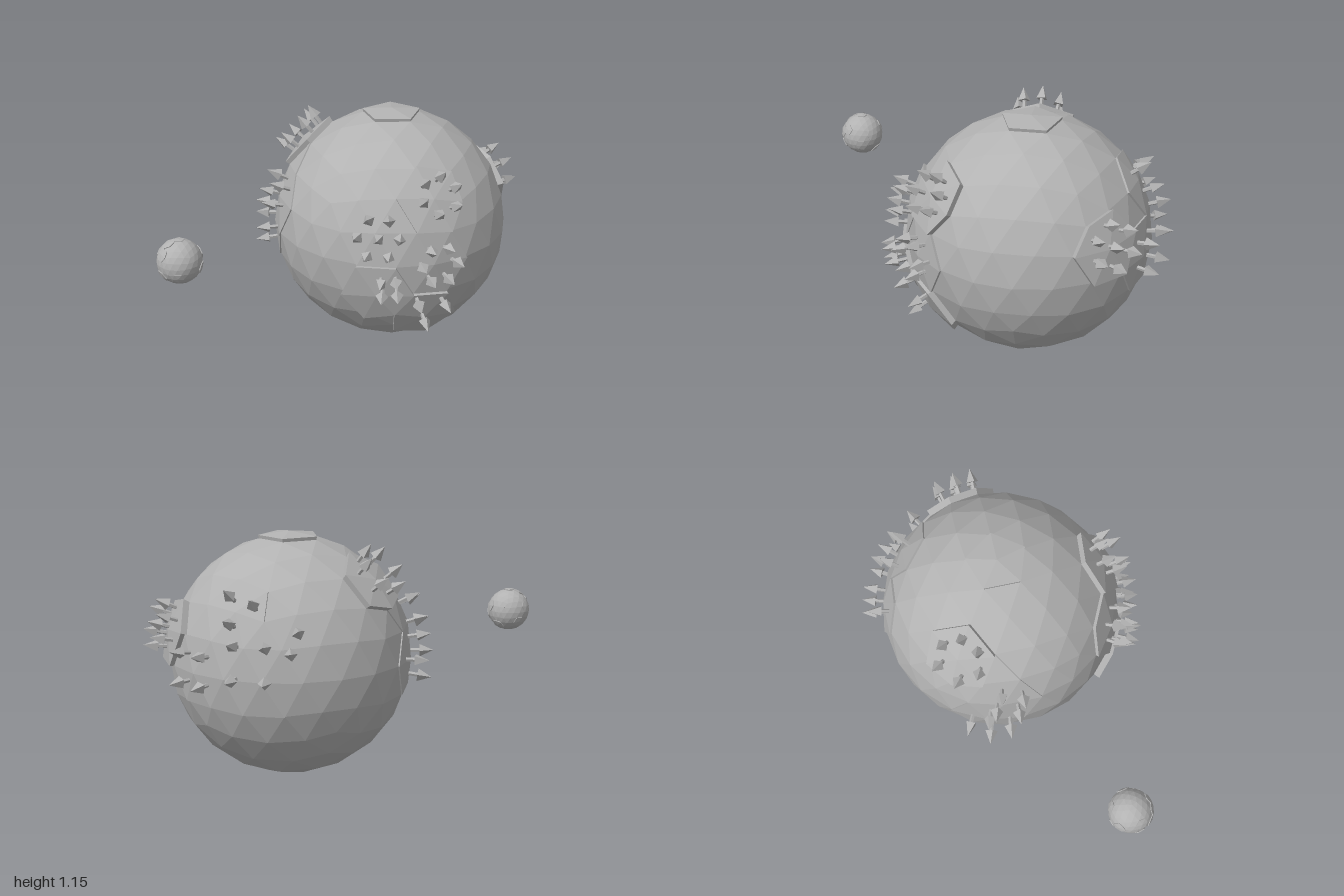
import * as THREE from 'three';
import { mergeGeometries } from 'three/addons/utils/BufferGeometryUtils.js';

const grey = new THREE.MeshStandardMaterial({ color: 0xb2b2b2, flatShading: true });
grey.name = 'grey';

// Unit direction from azimuth (0 = +x, 90 = +z) and latitude in degrees
function dir(az, lat) {
  const a = az * Math.PI / 180, b = lat * Math.PI / 180;
  return new THREE.Vector3(Math.cos(a) * Math.cos(b), Math.sin(b), Math.sin(a) * Math.cos(b));
}

// Triangles of a unit geodesic sphere with a five-sided corner at each pole
function geodesicTriangles() {
  const lat = Math.atan(0.5) * 180 / Math.PI;
  const pts = [dir(0, 90), dir(0, -90)], faces = [];
  for (let k = 0; k < 5; k++) pts.push(dir(72 * k, lat), dir(72 * k + 36, -lat));
  for (let k = 0; k < 5; k++) {
    const u = 2 + 2 * k, l = u + 1, u2 = 2 + 2 * ((k + 1) % 5), l2 = u2 + 1;
    faces.push(0, u2, u, u, u2, l, l, u2, l2, 1, l, l2);
  }
  const flat = pts.flatMap(p => p.toArray());
  const pos = new THREE.PolyhedronGeometry(flat, faces, 1, 3).attributes.position;
  const tris = [];
  for (let i = 0; i < pos.count; i += 3) {
    const t = [0, 1, 2].map(j => new THREE.Vector3().fromBufferAttribute(pos, i + j).normalize());
    if (t[1].clone().cross(t[2]).dot(t[0]) < 0) t.reverse();
    tris.push(t);
  }
  return tris;
}

const key = v => v.toArray().map(c => Math.round(c * 1000 + 0.137)).join();

// A faceted ball; each plate lifts the facets around its cells, with walls along its rim
function facetedBall(radius, plates, baseName) {
  const group = new THREE.Group();
  const tris = geodesicTriangles();
  const corners = tris.flat();
  const owner = tris.map(() => -1);
  plates.forEach((plate, p) => {
    for (const [az, lat] of plate.cells) {
      const d = dir(az, lat);
      const centre = key(corners.reduce((a, b) => (b.dot(d) > a.dot(d) ? b : a)));
      tris.forEach((t, i) => {
        if (owner[i] < 0 && t.some(v => key(v) === centre)) owner[i] = p;
      });
    }
  });
  const edgeOwner = new Map();
  tris.forEach((t, i) => t.forEach((v, j) => edgeOwner.set(key(v) + '|' + key(t[(j + 1) % 3]), owner[i])));
  const lift = p => radius + (p < 0 ? 0 : plates[p].height);
  const names = [baseName, ...plates.map(p => p.name)];
  const soups = names.map(() => []);

  tris.forEach((t, i) => {
    const out = soups[owner[i] + 1], h = lift(owner[i]);
    const add = (v, r) => out.push(v.x * r, v.y * r, v.z * r);
    t.forEach(v => add(v, h));
    t.forEach((a, j) => {
      const b = t[(j + 1) % 3];
      const low = lift(edgeOwner.get(key(b) + '|' + key(a)));
      if (low < h) {
        add(a, low); add(b, low); add(b, h);
        add(a, low); add(b, h); add(a, h);
      }
    });
  });
  soups.forEach((soup, i) => {
    const g = new THREE.BufferGeometry();
    g.setAttribute('position', new THREE.Float32BufferAttribute(soup, 3));
    g.computeVertexNormals();
    const mesh = new THREE.Mesh(g, grey);
    mesh.name = names[i];
    group.add(mesh);
  });
  return group;
}

// Tree: thin trunk and four-sided pointed crown, growing along +y
function treeGeometry() {
  const trunk = new THREE.CylinderGeometry(0.01, 0.01, 0.06, 5).translate(0, 0.025, 0);
  const crown = new THREE.ConeGeometry(0.03, 0.066, 4).translate(0, 0.08, 0);
  return mergeGeometries([trunk, crown]);
}

// A ring of trees around a point; a grove of seven has one in the middle
function grove(shape, base, [az, lat, count, spread, start]) {
  const group = new THREE.Group(), up = new THREE.Vector3(0, 1, 0);
  group.name = 'grove';
  const ring = count === 7 ? 6 : count;
  for (let i = 0; i < count; i++) {
    const a = (start + 360 * i / ring) * Math.PI / 180, r = i < ring ? spread : 0;
    const d = dir(az + r * Math.cos(a) / Math.cos(lat * Math.PI / 180), lat + r * Math.sin(a));
    const tree = new THREE.Mesh(shape, grey);
    tree.name = 'tree';
    tree.position.copy(d).multiplyScalar(base);
    tree.quaternion.setFromUnitVectors(up, d);
    tree.rotateY(i * 1.3);
    group.add(tree);
  }
  return group;
}

export function createModel() {
  const model = new THREE.Group();
  model.name = 'planetAndMoon';
  const R = 0.565;

  // Raised land plates: cells are [azimuth, latitude],
  // groves are [azimuth, latitude, tree count, spread, start angle]
  const plates = [
    { name: 'polarPlate', height: 0.016, cells: [[0, 90]], groves: [] },
    { name: 'rightUpperPlate', height: 0.028, cells: [[16, 29]], groves: [[14, 31, 6, 8, 45]] },
    { name: 'rightMiddlePlate', height: 0.012, cells: [[18, 0]], groves: [[16.5, 1, 6, 8, 0]] },
    { name: 'rightLowerPlate', height: 0.028, cells: [[20, -29]], groves: [[20, -21, 3, 7, 40]] },
    { name: 'rightFrontLowerPlate', height: 0.032, cells: [[44, -14.5]], groves: [[39, -8, 4, 4.5, 40]] },
    { name: 'rightFrontUpperPlate', height: 0.016, cells: [[44, 15]], groves: [[44, 14, 7, 9, 0]] },
    { name: 'leftFrontHighPlate', height: 0.03, cells: [[144, 41]], groves: [[142, 43, 6, 9.5, 20]] },
    { name: 'leftFrontPlate', height: 0.006, cells: [[126, 0], [116, 15], [128, 29]],
      groves: [[114.5, 20, 4, 7, 60], [124, 1, 4, 9, 0]] },
    { name: 'backHighPlate', height: 0.032, cells: [[280, 14.5]], groves: [[279, 16, 7, 9, 30]] },
    { name: 'backLeftPlate', height: 0.01, cells: [[252, 0], [234, 0], [216, 0], [208, 14.5], [232, 29]],
      groves: [[250, 2.5, 4, 9, 45], [221, 8, 4, 10, 45], [201.5, 17, 2, 4.5, 110], [229, 30.5, 3, 7, 45]] },
  ];
  const planet = facetedBall(R, plates, 'planetBody');
  planet.name = 'planet';
  const treeShape = treeGeometry();
  for (const { height, groves } of plates) {
    for (const g of groves) planet.add(grove(treeShape, R + height - 0.012, g));
  }
  planet.position.set(-0.027, R, -0.308);
  model.add(planet);

  // Small moon with scattered raised patches
  const spots = [[90, 31], [90, -27], [0, 27], [36, -27], [30, 8], [150, 10], [216, 27],
    [180, -27], [280, 8], [320, -20], [250, -40], [0, 90], [120, 60], [60, 0]];
  const patches = spots.map(c => ({ name: 'moonPatch', height: 0.004, cells: [c] }));
  const moon = facetedBall(0.103, patches, 'moonBody');
  moon.name = 'moon';
  moon.position.set(-0.027, 0.667, 0.893);
  model.add(moon);
  return model;
}
